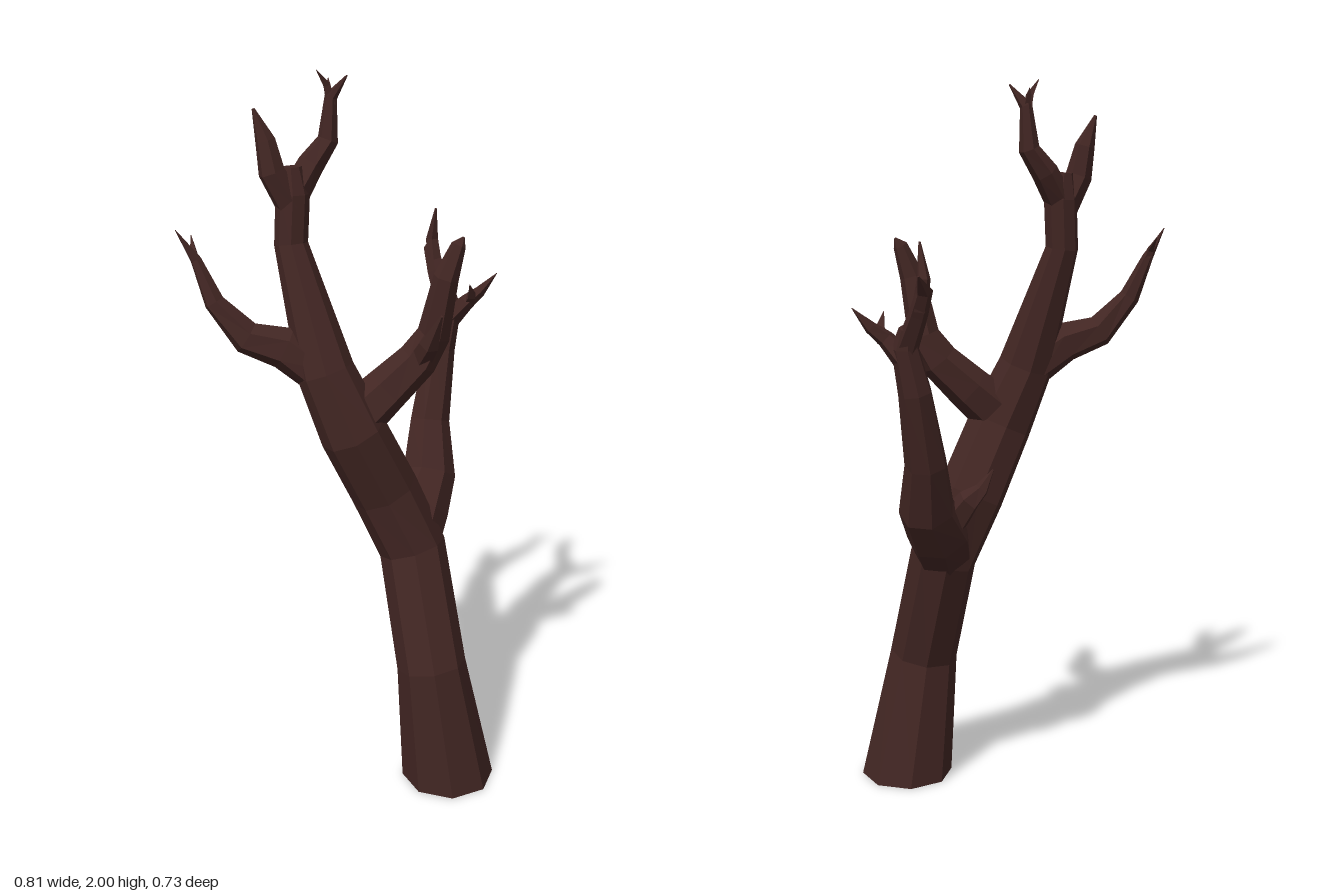
import * as THREE from 'three';

const bark = new THREE.MeshStandardMaterial({ color: 0x422623, flatShading: true });

// Tapering limb through stations [x, y, z, radius]; the last ring is capped (radius 0 gives a point)
function limb(name, sides, stations, flatBase = false) {
  const pts = stations.map(s => new THREE.Vector3(s[0], s[1], s[2]));
  const last = pts.length - 1;
  const pos = [], index = [];
  pts.forEach((p, i) => {
    const t = new THREE.Vector3();
    if (i < last) t.add(pts[i + 1].clone().sub(p).normalize());
    if (i > 0) t.add(p.clone().sub(pts[i - 1]).normalize());
    if (i === 0 && flatBase) t.set(0, 1, 0);
    t.normalize();
    const u = new THREE.Vector3(1, 0, 0).addScaledVector(t, -t.x).normalize();
    const v = t.clone().cross(u);
    for (let k = 0; k < sides; k++) {
      const a = (k / sides) * Math.PI * 2;
      const q = p.clone()
        .addScaledVector(u, Math.cos(a) * stations[i][3])
        .addScaledVector(v, Math.sin(a) * stations[i][3]);
      pos.push(q.x, q.y, q.z);
    }
  });
  for (let i = 0; i < last; i++) {
    for (let k = 0; k < sides; k++) {
      const a = i * sides + k, b = i * sides + (k + 1) % sides;
      index.push(a, b, a + sides, b, b + sides, a + sides);
    }
  }
  // End caps
  for (let k = 1; k < sides - 1; k++) {
    index.push(0, k + 1, k);
    index.push(last * sides, last * sides + k, last * sides + k + 1);
  }
  const geo = new THREE.BufferGeometry();
  geo.setAttribute('position', new THREE.Float32BufferAttribute(pos, 3));
  geo.setIndex(index);
  geo.computeVertexNormals();
  const mesh = new THREE.Mesh(geo, bark);
  mesh.name = name;
  return mesh;
}

export function createModel() {
  const tree = new THREE.Group();
  tree.name = 'bareTree';

  // Trunk, leaning back and then towards -x
  tree.add(limb('trunk', 8, [
    [0.035, 0, 0.23, 0.133], [-0.005, 0.37, 0.195, 0.098], [0.038, 0.69, 0.085, 0.095],
    [-0.02, 0.87, 0.03, 0.095], [-0.115, 1.06, 0, 0.092], [-0.157, 1.23, -0.06, 0.078],
    [-0.16, 1.56, -0.175, 0.045], [-0.15, 1.69, -0.175, 0.045], [-0.15, 1.76, -0.18, 0.03],
  ], true));

  // Crown fork
  tree.add(limb('crownTwigRight', 6, [
    [-0.155, 1.66, -0.175, 0.042], [-0.2, 1.75, -0.2, 0.036], [-0.205, 1.83, -0.215, 0.027], [-0.225, 1.91, -0.235, 0.004],
  ]));
  tree.add(limb('crownTwigLeft', 6, [
    [-0.15, 1.68, -0.175, 0.04], [-0.09, 1.76, -0.165, 0.036], [-0.045, 1.82, -0.145, 0.028],
    [-0.037, 1.93, -0.14, 0.017], [-0.018, 1.985, -0.1, 0.002],
  ]));
  tree.add(limb('crownTip', 4, [
    [-0.037, 1.91, -0.14, 0.016], [-0.047, 1.96, -0.145, 0.012], [-0.08, 2.0, -0.15, 0.001],
  ]));
  tree.add(limb('crownTipSmall', 4, [
    [-0.037, 1.92, -0.14, 0.012], [-0.03, 1.96, -0.155, 0.007], [-0.025, 1.975, -0.16, 0.001],
  ]));

  // Rear branch on the -x side
  tree.add(limb('rearBranch', 6, [
    [-0.16, 1.22, -0.07, 0.06], [-0.225, 1.295, -0.145, 0.058], [-0.295, 1.325, -0.215, 0.045],
    [-0.345, 1.42, -0.28, 0.028], [-0.362, 1.53, -0.325, 0.015], [-0.403, 1.61, -0.352, 0.001],
  ]));
  tree.add(limb('rearBranchTip', 4, [
    [-0.36, 1.51, -0.32, 0.014], [-0.36, 1.55, -0.335, 0.011], [-0.338, 1.585, -0.367, 0.001],
  ]));

  // Front branch with a side spur
  tree.add(limb('frontBranch', 6, [
    [-0.12, 1.08, -0.01, 0.075], [-0.03, 1.17, 0.045, 0.064], [0.035, 1.25, 0.1, 0.055],
    [0.065, 1.32, 0.13, 0.045], [0.07, 1.48, 0.165, 0.034], [0.095, 1.565, 0.185, 0.02], [0.11, 1.585, 0.19, 0.003],
  ]));
  tree.add(limb('frontSpur', 5, [
    [0.035, 1.24, 0.1, 0.035], [0.01, 1.31, 0.16, 0.028], [-0.005, 1.4, 0.212, 0.004],
  ]));

  // Large branch on the +x side
  tree.add(limb('sideBranch', 7, [
    [0.03, 0.68, 0.08, 0.08], [0.1, 0.775, 0.05, 0.09], [0.175, 0.86, 0.03, 0.078],
    [0.225, 1.0, -0.01, 0.058], [0.285, 1.2, -0.025, 0.045], [0.312, 1.32, -0.015, 0.036], [0.32, 1.37, -0.03, 0.022],
  ]));
  // Rear fork of the side branch
  tree.add(limb('sideTwigRear', 5, [
    [0.31, 1.31, -0.015, 0.032], [0.33, 1.41, -0.075, 0.026], [0.348, 1.47, -0.11, 0.022], [0.4, 1.51, -0.135, 0.002],
  ]));
  tree.add(limb('sideTipRear', 5, [
    [0.335, 1.42, -0.085, 0.023], [0.345, 1.5, -0.105, 0.018], [0.335, 1.59, -0.085, 0.003],
  ]));
  // Front fork of the side branch
  tree.add(limb('sideTwigFront', 5, [
    [0.31, 1.29, -0.01, 0.034], [0.33, 1.34, 0.035, 0.024], [0.36, 1.37, 0.06, 0.017], [0.393, 1.42, 0.093, 0.001],
  ]));
  tree.add(limb('sideTipFront', 4, [
    [0.34, 1.34, 0.04, 0.02], [0.315, 1.365, 0.065, 0.014], [0.285, 1.405, 0.08, 0.001],
  ]));

  // Small stub behind the main crotch
  tree.add(limb('crotchStub', 5, [
    [0.09, 0.81, 0.01, 0.045], [0.085, 0.88, -0.045, 0.034], [0.06, 0.91, -0.07, 0.02], [0.035, 0.965, -0.09, 0.002],
  ]));

  return tree;
}
